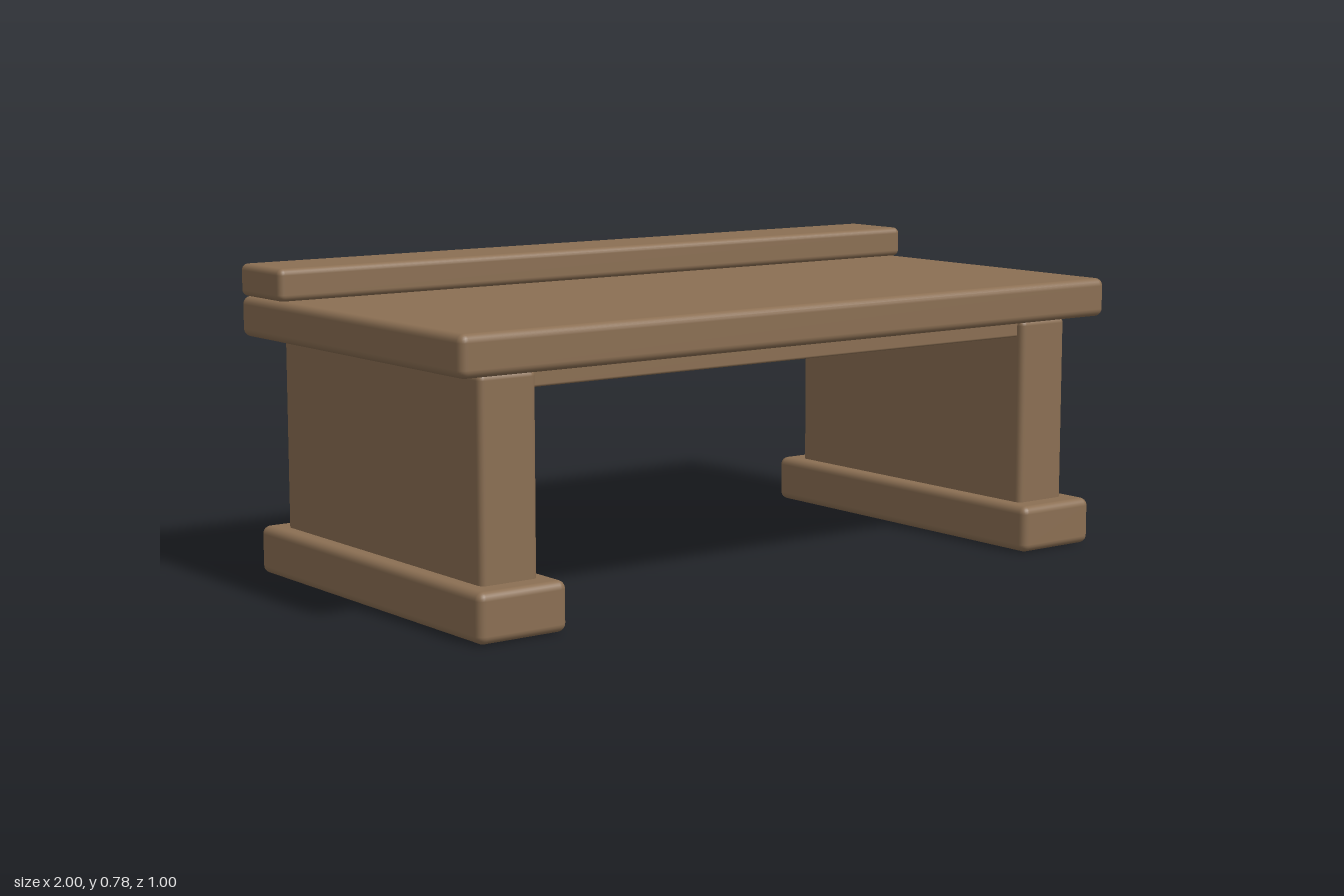
import * as THREE from 'three';
import { RoundedBoxGeometry } from 'three/addons/geometries/RoundedBoxGeometry.js';

export function createModel() {
  const group = new THREE.Group();
  group.name = 'lowBench';
  const wood = new THREE.MeshStandardMaterial({ color: 0x8b6f53 });
  wood.name = 'brown wood';

  // Rounded plank spanning the given ranges on x, y and z
  function plank(name, [x0, x1], [y0, y1], [z0, z1], radius) {
    const geometry = new RoundedBoxGeometry(x1 - x0, y1 - y0, z1 - z0, 3, radius);
    const mesh = new THREE.Mesh(geometry, wood);
    mesh.name = name;
    mesh.position.set((x0 + x1) / 2, (y0 + y1) / 2, (z0 + z1) / 2);
    group.add(mesh);
  }

  // Top board with a raised ledge along the back
  plank('topBoard', [-1, 1], [0.6, 0.7], [-0.5, 0.5], 0.02);
  plank('backLedge', [-1, 1], [0.7, 0.78], [-0.5, -0.3], 0.016);

  // Support panel between the legs, under the top
  plank('underPanel', [-0.8, 0.8], [0.555, 0.62], [-0.42, 0.42], 0.006);

  // Slab leg and foot on each side
  for (const [label, s] of [['left', 1], ['right', -1]]) {
    const span = (a, b) => (s > 0 ? [a, b] : [-b, -a]);
    plank(label + 'Leg', span(0.76, 0.915), [0.1, 0.6], [-0.44, 0.44], 0.016);
    plank(label + 'Foot', span(0.72, 0.96), [0, 0.12], [-0.5, 0.5], 0.02);
  }
  return group;
}
